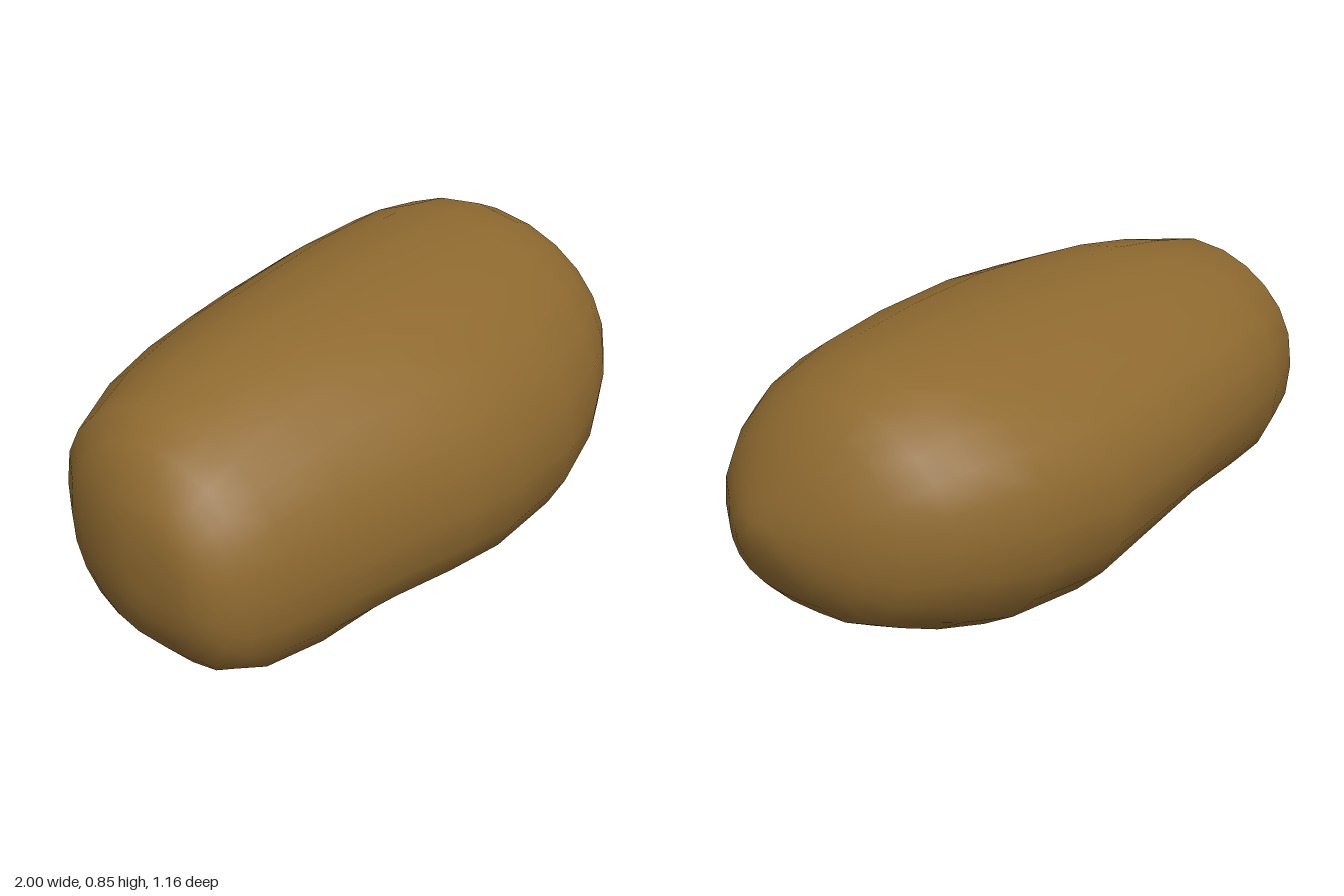
import * as THREE from 'three';

// Cross-sections along the body: x, bottom y, top y, back z, front z
const SECTIONS = [
  [-1.0, 0.31, 0.46, 0.0, 0.18],
  [-0.99, 0.25, 0.53, -0.06, 0.21],
  [-0.97, 0.19, 0.585, -0.13, 0.26],
  [-0.93, 0.13, 0.645, -0.22, 0.295],
  [-0.89, 0.09, 0.69, -0.29, 0.33],
  [-0.8, 0.06, 0.745, -0.385, 0.375],
  [-0.6, 0.038, 0.805, -0.468, 0.43],
  [-0.4, 0.03, 0.842, -0.513, 0.487],
  [-0.2, 0.022, 0.856, -0.542, 0.543],
  [0.0, 0.012, 0.867, -0.567, 0.58],
  [0.3, 0.003, 0.87, -0.585, 0.57],
  [0.55, 0.035, 0.862, -0.545, 0.512],
  [0.7, 0.085, 0.837, -0.488, 0.452],
  [0.8, 0.13, 0.79, -0.425, 0.397],
  [0.88, 0.17, 0.72, -0.35, 0.34],
  [0.94, 0.235, 0.625, -0.25, 0.26],
  [0.98, 0.31, 0.54, -0.14, 0.19],
  [1.0, 0.385, 0.47, 0.0, 0.12],
];
const SIDES = 24;

const soft = (v) => Math.sign(v) * Math.abs(v) ** 0.9;
const bump = (v, centre, width) => Math.exp(-(((v - centre) / width) ** 2));

// Hollows (+) and swellings (-): depth, x centre, x width, angle / PI, angle width
const DENTS = [
  [0.04, -0.15, 0.35, 1.25, 0.45], // low on the back
  [0.05, 0.1, 0.65, 0.74, 0.5], // high on the back
  [0.025, -0.5, 0.25, 0.7, 0.45], // high on the back, right end
  [0.045, 0.25, 0.45, 1.63, 0.4], // low on the front
  [-0.03, -0.7, 0.22, 1.72, 0.4], // swelling low on the front, right end
];

const dentAt = (x, a) => DENTS.reduce(
  (sum, [depth, cx, wx, ca, wa]) => sum + depth * bump(x, cx, wx) * bump(a, ca * Math.PI, wa), 0);

// Closed loft through the rounded cross-sections
function createBodyGeometry() {
  const points = [];
  const index = [];

  for (const [x, bottom, top, back, front] of SECTIONS) {
    const h = (top - bottom) / 2;
    const w = (front - back) / 2;
    for (let j = 0; j < SIDES; j++) {
      const a = (j / SIDES) * Math.PI * 2;
      const c = Math.cos(a);
      const s = Math.sin(a);
      // The front side sags more than the back side rises
      const sag = h * c * (c > 0 ? 0.21 : 0.05);
      const dent = dentAt(x, a);
      points.push(
        x,
        (top + bottom) / 2 + soft(s) * h - sag - dent * s,
        (front + back) / 2 + soft(c) * w - dent * c
      );
    }
  }

  const last = SECTIONS.length - 1;
  for (let i = 0; i < last; i++) {
    for (let j = 0; j < SIDES; j++) {
      const k = (j + 1) % SIDES;
      const a = i * SIDES + j, b = a + SIDES;
      const d = i * SIDES + k, e = d + SIDES;
      index.push(a, b, d, b, e, d);
    }
  }

  // Close both ends with a fan
  for (const i of [0, last]) {
    const [x, bottom, top, back, front] = SECTIONS[i];
    const tip = points.length / 3;
    points.push(x, (top + bottom) / 2, (front + back) / 2);
    for (let j = 0; j < SIDES; j++) {
      const a = i * SIDES + j;
      const b = i * SIDES + ((j + 1) % SIDES);
      if (i === 0) index.push(tip, a, b);
      else index.push(tip, b, a);
    }
  }

  const geometry = new THREE.BufferGeometry();
  geometry.setAttribute('position', new THREE.Float32BufferAttribute(points, 3));
  geometry.setIndex(index);
  geometry.computeVertexNormals();
  return geometry;
}

export function createModel() {
  const skin = new THREE.MeshStandardMaterial({ color: 0x8f6a30 });
  skin.name = 'earthy brown';

  const body = new THREE.Mesh(createBodyGeometry(), skin);
  body.name = 'potatoBody';

  const group = new THREE.Group();
  group.name = 'potato';
  group.add(body);
  return group;
}
